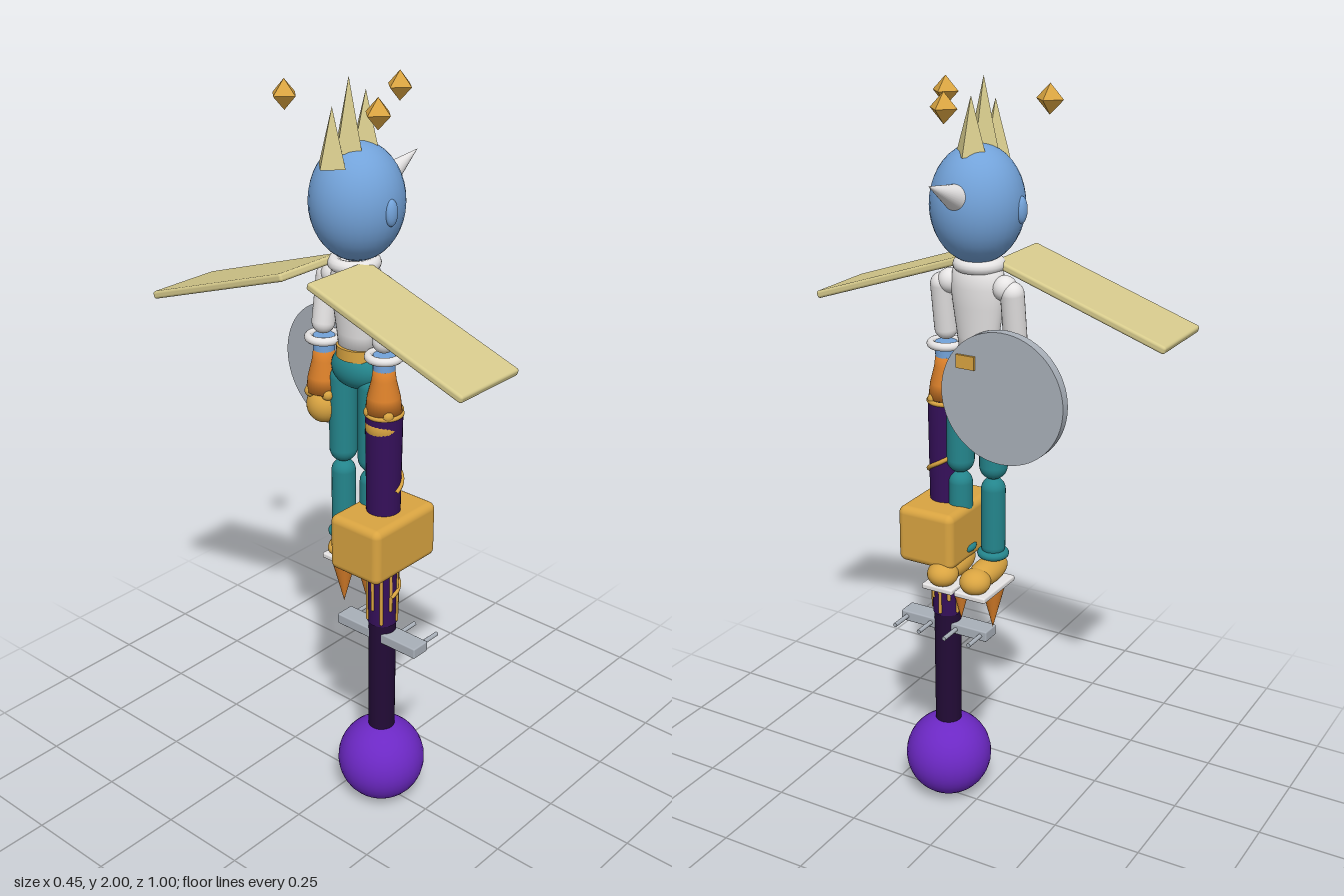
import * as THREE from 'three';
import { RoundedBoxGeometry } from 'three/addons/geometries/RoundedBoxGeometry.js';

const material = (name, color, flatShading = false) => {
  const m = new THREE.MeshStandardMaterial({ color, flatShading });
  m.name = name;
  return m;
};

export function createModel() {
  const model = new THREE.Group();
  model.name = 'wingedFigureWithStaff';
  const blue = material('blue', 0x73a3da);
  const white = material('white', 0xe6e4e4);
  const straw = material('straw', 0xd6ca8c);
  const gold = material('gold', 0xd9a441);
  const silver = material('silver', 0xa9b0b9);
  const teal = material('teal', 0x24858c);
  const orange = material('orange', 0xdb802a);
  const plum = material('dark plum', 0x35105a);
  const night = material('night purple', 0x220b36);
  const violet = material('violet', 0x6c28c4);

  const add = (name, geometry, mat, x, y, z, parent = model) => {
    const mesh = new THREE.Mesh(geometry, mat);
    mesh.name = name;
    mesh.position.set(x, y, z);
    parent.add(mesh);
    return mesh;
  };
  const ball = (rx, ry = rx, rz = rx) => new THREE.SphereGeometry(1, 32, 20).scale(rx, ry, rz);
  const rod = (top, bottom, h, sides = 28) => new THREE.CylinderGeometry(top, bottom, h, sides);
  const ring = (r, tube) => new THREE.TorusGeometry(r, tube, 12, 32).rotateX(Math.PI / 2);
  const lathe = (pts) => new THREE.LatheGeometry(pts.map((p) => new THREE.Vector2(p[0], p[1])), 32);
  // Pointed solids with flat facets
  const facet = (g) => { const f = g.index ? g.toNonIndexed() : g; f.computeVertexNormals(); return f; };

  // Head, facing +x, with ears and horn-like nose
  add('head', ball(0.118, 0.146, 0.118), blue, -0.005, 1.7, 0);
  for (const s of [1, -1]) add('ear', ball(0.018, 0.033, 0.013), blue, -0.015, 1.695, s * 0.116);
  const nose = add('nose', rod(0, 0.032, 0.13), white, 0.16, 1.757, 0);
  nose.rotation.z = -1.2;

  // Crown spikes and floating gems
  for (const [x, base, tip] of [[-0.092, 1.8, 1.94], [-0.034, 1.825, 2], [0.026, 1.82, 1.96]]) {
    const h = tip - base;
    add('crownSpike', facet(new THREE.ConeGeometry(0.042, h, 4)), straw, x, base + h / 2, 0);
  }
  for (const [x, z] of [[-0.098, 0.144], [-0.098, -0.144], [0.15, 0]])
    add('floatingGem', new THREE.OctahedronGeometry(0.037), gold, x, 1.947, z);

  // Torso
  add('collar', ring(0.05, 0.017), white, -0.015, 1.55, 0);
  const torso = add('torso', lathe([[0, -0.12], [0.05, -0.12], [0.056, -0.07], [0.068, 0.01],
    [0.074, 0.06], [0.068, 0.1], [0.04, 0.125], [0, 0.125]]), white, -0.008, 1.435, 0);
  torso.scale.x = 0.68;
  const belt = add('belt', rod(0.055, 0.055, 0.03), gold, -0.008, 1.315, 0);
  belt.scale.x = 0.8;
  add('beltBuckle', new THREE.BoxGeometry(0.02, 0.035, 0.052), gold, 0.05, 1.315, 0);
  add('hips', ball(0.05, 0.055, 0.075), teal, -0.005, 1.27, 0);

  // Wings
  for (const s of [1, -1]) {
    const wing = add('wing', new RoundedBoxGeometry(0.214, 0.02, 0.485, 3, 0.007), straw, -0.123, 1.478, s * 0.27);
    wing.rotation.x = s * 0.327;
  }

  // Arms
  for (const s of [1, -1]) {
    const arm = new THREE.Group();
    arm.name = 'arm';
    arm.position.set(-0.018, 0, s * 0.1);
    model.add(arm);
    const upper = add('upperArm', new THREE.CapsuleGeometry(0.03, 0.12, 8, 24), white, 0.008, 1.43, 0, arm);
    upper.rotation.z = -0.15;
    add('shoulder', ball(0.032), white, 0.015, 1.5, s * -0.022, arm);
    add('elbowRing', ring(0.039, 0.011), white, 0, 1.33, 0, arm);
    add('forearm', rod(0.028, 0.028, 0.07), blue, 0, 1.3, 0, arm);
    add('flaredCuff', lathe([[0, 1.305], [0.027, 1.305], [0.031, 1.27], [0.042, 1.225], [0.047, 1.185], [0, 1.185]].reverse()),
      orange, 0, 0, 0, arm);
    add('hand', ball(0.047, 0.05, 0.047), gold, 0, 1.145, 0, arm);
    for (let i = 0; i < 4; i++) {
      const a = i * Math.PI / 2 + 0.6;
      add('knuckle', ball(0.016), gold, 0.036 * Math.cos(a), 1.185, 0.036 * Math.sin(a), arm);
    }
  }

  // Shield
  const shield = add('shield', rod(0.172, 0.172, 0.026, 64), silver, 0.04, 1.232, -0.1);
  shield.rotation.z = Math.PI / 2;

  // Legs with shoes, soles and flame cones
  for (const s of [1, -1]) {
    const leg = new THREE.Group();
    leg.name = 'leg';
    leg.position.set(-0.002, 0, s * 0.049);
    model.add(leg);
    add('thigh', new THREE.CapsuleGeometry(0.037, 0.2, 8, 24), teal, 0, 1.13, 0, leg);
    add('shin', new THREE.CapsuleGeometry(0.032, 0.16, 8, 24), teal, 0, 0.885, 0, leg);
    add('ankleRing', ring(0.031, 0.011), teal, 0, 0.783, 0, leg);
    add('shoe', ball(0.085, 0.034, 0.038), gold, 0.03, 0.742, 0, leg);
    add('shoeToe', ball(0.042, 0.034, 0.041), gold, 0.094, 0.737, 0, leg);
    add('sole', new RoundedBoxGeometry(0.165, 0.016, 0.092, 2, 0.005), white, 0.045, 0.704, 0, leg);
    add('flame', rod(0.035, 0, 0.135), orange, 0, 0.63, 0, leg);
  }

  // Staff
  const staff = new THREE.Group();
  staff.name = 'staff';
  staff.position.set(-0.016, 0, 0.1);
  model.add(staff);
  add('upperShaft', rod(0.048, 0.04, 0.61), plum, 0, 0.875, 0, staff);
  add('lowerShaft', rod(0.037, 0.036, 0.38), night, 0, 0.4, 0, staff);
  add('baseOrb', ball(0.12), violet, 0, 0.12, 0, staff);
  add('shaftRim', ring(0.045, 0.006), gold, 0, 1.178, 0, staff);
  add('block', new RoundedBoxGeometry(0.24, 0.156, 0.165, 4, 0.02), gold, 0.002, 0.828, -0.002, staff);

  // Gold vines winding on the shaft and bars hanging under the block
  for (const [y0, y1, a0, a1, r] of [[0.97, 1.05, 1.7, -1.3, 0.047], [0.66, 0.72, 1.9, -1.1, 0.043]]) {
    const points = Array.from({ length: 13 }, (_, i) => {
      const t = i / 12, a = a0 + (a1 - a0) * t;
      return new THREE.Vector3(r * Math.cos(a), y0 + (y1 - y0) * t, r * Math.sin(a));
    });
    add('vine', new THREE.TubeGeometry(new THREE.CatmullRomCurve3(points), 36, 0.006, 8), gold, 0, 0, 0, staff);
  }
  for (let i = 0; i < 10; i++) {
    const a = i * Math.PI / 5, h = i % 2 ? 0.13 : 0.17;
    add('hangingBar', new THREE.CapsuleGeometry(0.005, h, 4, 8), gold, 0.04 * Math.cos(a), 0.75 - h / 2, 0.04 * Math.sin(a), staff);
  }

  // Crossbar with pegs
  add('crossbar', new RoundedBoxGeometry(0.056, 0.03, 0.27, 2, 0.004), silver, -0.002, 0.531, 0, staff);
  for (const z of [-0.116, -0.04, 0.04, 0.116]) {
    const peg = add('peg', rod(0.006, 0.006, 0.08, 12), silver, 0.048, 0.531, z, staff);
    peg.rotation.z = Math.PI / 2;
  }
  return model;
}
